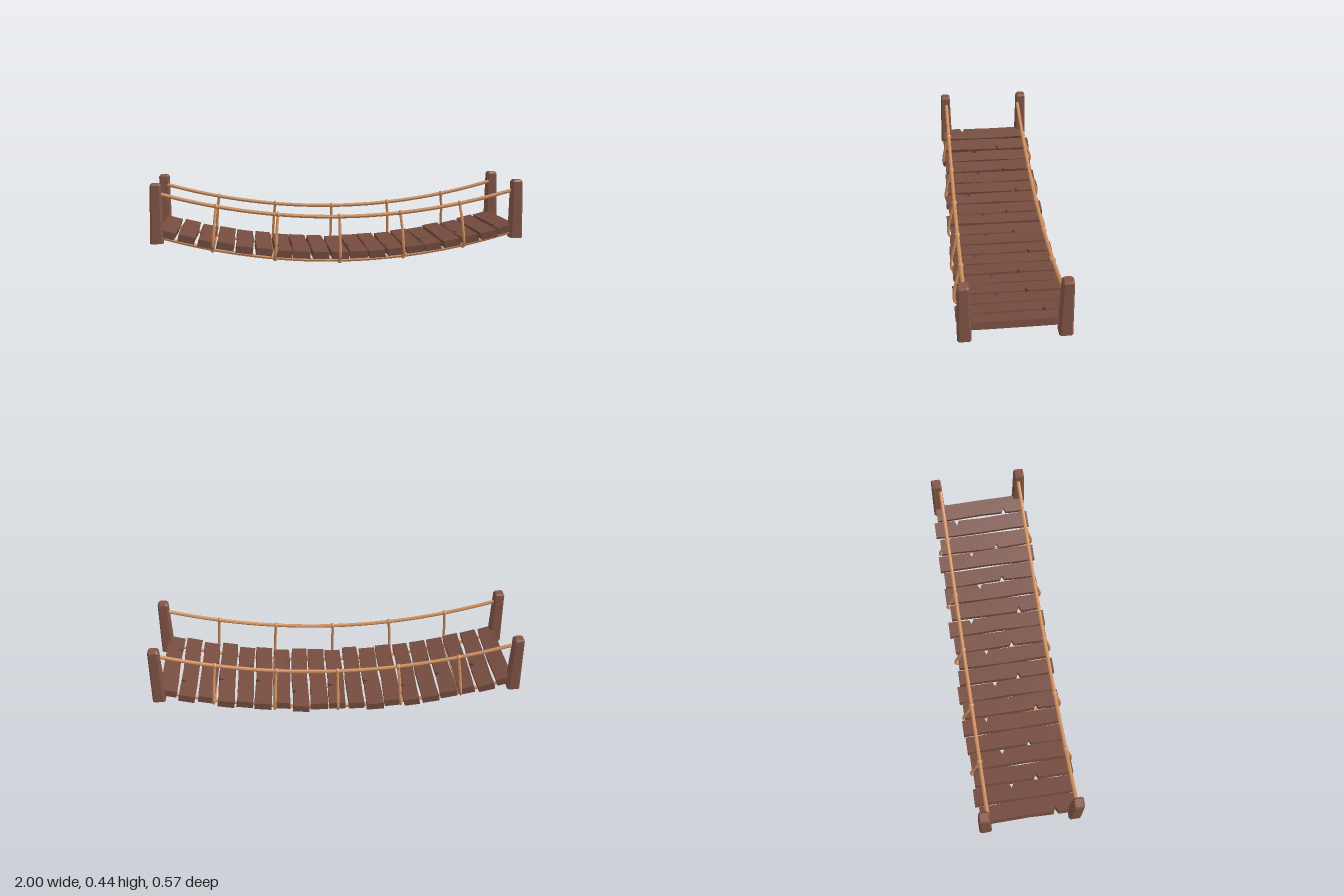
import * as THREE from 'three';

const mat = (name, color) => new THREE.MeshStandardMaterial({ name, color, flatShading: true });

export function createModel() {
  const bridge = new THREE.Group();
  bridge.name = 'ropeBridge';
  const postWood = mat('postWood', 0x835546);
  const plankWood = mat('plankWood', 0x764c3f);
  const ropeFibre = mat('ropeFibre', 0xd0905f);

  const add = (name, geometry, material) => {
    const mesh = new THREE.Mesh(geometry, material);
    mesh.name = name;
    bridge.add(mesh);
    return mesh;
  };
  const V = (x, y, z) => new THREE.Vector3(x, y, z);
  const rope = (name, points, radius, segments) => add(name,
    new THREE.TubeGeometry(new THREE.CatmullRomCurve3(points), segments, radius, 8), ropeFibre);
  const knot = (name, x, y, z, r) => {
    const k = add(name, new THREE.SphereGeometry(r, 8, 6), ropeFibre);
    k.position.set(x, y, z);
    k.scale.x = 0.85;
  };

  // Sagging curves for hand ropes, lower ropes and deck
  const handY = x => 0.256 + 0.148 * x * x;
  const lowerY = x => 0.02 + 0.155 * x * x;
  const deckY = x => 0.05 + 0.15 * x * x;
  const ropeZ = { front: 0.237, back: -0.222 };

  // Corner posts: tapered, chamfered square columns stacked from rings
  const rings = [[0, 0.13], [0.034, 0.13], [0.028, 0.436], [0.021, 0.446], [0, 0.446]];
  const postGeometry = () => {
    const pos = [], index = [];
    for (const [h, y] of rings) {
      const c = h * 0.72;
      for (const [x, z] of [[h, -c], [h, c], [c, h], [-c, h], [-h, c], [-h, -c], [-c, -h], [c, -h]]) pos.push(x, y, z);
    }
    for (let r = 0; r < rings.length - 1; r++) {
      for (let i = 0; i < 8; i++) {
        const a = r * 8 + i, b = r * 8 + (i + 1) % 8;
        index.push(a, a + 8, b, b, a + 8, b + 8);
      }
    }
    const g = new THREE.BufferGeometry();
    g.setAttribute('position', new THREE.Float32BufferAttribute(pos, 3));
    g.setIndex(index);
    g.computeVertexNormals();
    return g;
  };
  for (const x of [-0.966, 0.966]) {
    for (const z of [-0.242, 0.242]) add('post', postGeometry(), postWood).position.set(x, 0, z);
  }

  // Deck planks: uneven boards, each with one small split in an edge
  const backEnds = [0.26, 0.28, 0.265, 0.27, 0.28, 0.287, 0.27, 0.286, 0.27, 0.26,
    0.267, 0.286, 0.262, 0.28, 0.27, 0.288, 0.265, 0.284, 0.262];
  const frontEnds = [0.262, 0.266, 0.275, 0.262, 0.268, 0.265, 0.275, 0.262, 0.28, 0.262,
    0.27, 0.278, 0.262, 0.27, 0.262, 0.28, 0.265, 0.277, 0.262];
  const notchZ = [0.14, -0.07, 0.07, -0.09, 0.065, -0.15];
  const thickness = 0.038;
  for (let i = 0; i < 19; i++) {
    const x = -0.915 + i * 0.1017;
    const side = i % 2 ? 1 : -1;
    const nz = notchZ[i % 6];
    const w = 0.045 + 0.0015 * Math.sin(i * 2.1);
    // Each edge runs from front to back; shape y is minus z
    const edge = s => {
      const wave = z => s * (w + 0.003 * Math.sin(z * 13 + i * 1.7 + s));
      const points = [frontEnds[i], 0.18, 0, -0.19, -backEnds[i]].map(z => [wave(z), -z]);
      if (s === side) {
        points.push([wave(nz + 0.013), -nz - 0.013], [s * (w - 0.028), -nz], [wave(nz - 0.013), -nz + 0.013]);
        points.sort((a, b) => a[1] - b[1]);
      }
      return points.map(p => new THREE.Vector2(...p));
    };
    const shape = new THREE.Shape([...edge(1), ...edge(-1).reverse()]);
    const g = new THREE.ExtrudeGeometry(shape, { depth: thickness, bevelEnabled: false });
    g.translate(0, 0, -thickness / 2).rotateX(-Math.PI / 2);
    const plank = add('plank', g, plankWood);
    plank.position.set(x, deckY(x) + 0.002 * Math.sin(i * 2.6), 0);
    plank.rotation.z = Math.atan(0.3 * x);
  }

  // Long hand ropes and lower ropes on both sides
  const along = (f, z) => Array.from({ length: 13 }, (_, i) => {
    const x = -0.95 + i * 1.9 / 12;
    return V(x, f(x), z);
  });
  for (const [sideName, z] of Object.entries(ropeZ)) {
    rope(sideName + 'HandRope', along(handY, z), 0.01, 36);
    rope(sideName + 'LowerRope', along(lowerY, z), 0.01, 36);
  }

  // Hangers loop outside the planks and meet the cross ropes underneath
  for (const [topX, lowX] of [[-0.655, -0.677], [-0.33, -0.347], [0, 0], [0.33, 0.347], [0.655, 0.677]]) {
    const top = handY(topX), low = lowerY(lowX);
    for (const [sideName, z] of Object.entries(ropeZ)) {
      const out = Math.sign(z);
      const deck = low + 0.045;
      rope(sideName + 'Hanger', [
        V(topX, top, z),
        V(topX + (lowX - topX) * 0.45, (top + deck) / 2 + 0.01, z + out * 0.022),
        V(topX + (lowX - topX) * 0.8, deck, out * 0.276),
        V(lowX, low + 0.012, out * 0.268),
        V(lowX, low, z),
      ], 0.0075, 20);
      knot(sideName + 'UpperKnot', topX, top, z, 0.016);
      knot(sideName + 'LowerKnot', lowX, low, z, 0.018);
    }
    rope('crossRope', [V(lowX, low, ropeZ.back), V(lowX, low, ropeZ.front)], 0.01, 2);
  }

  return bridge;
}
